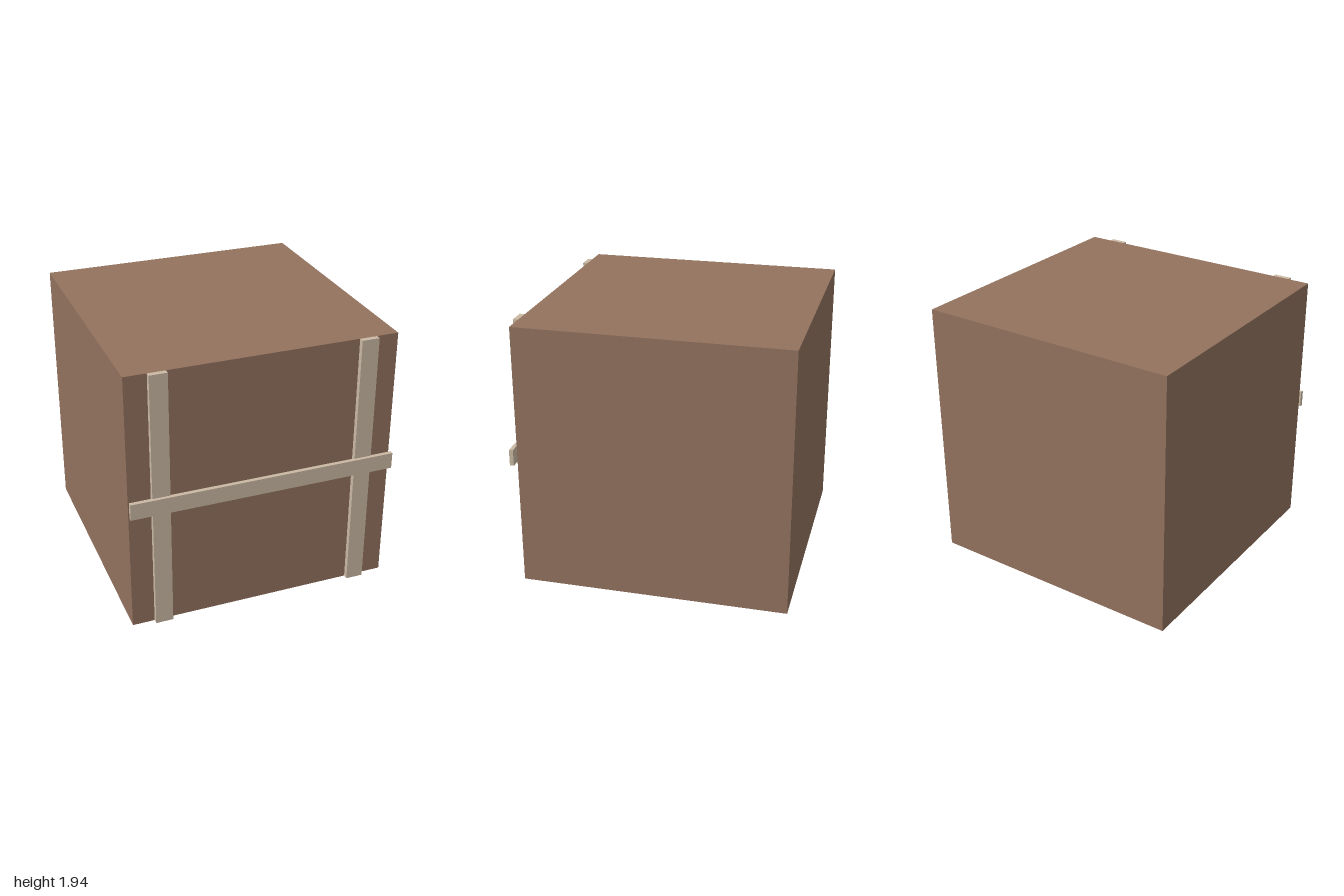
import * as THREE from 'three';

const SIZE = 1.94;      // edge of the cube
const FRONT = 0.94;     // z of its front face

export function createModel() {
  const group = new THREE.Group();
  const brown = new THREE.MeshStandardMaterial({ color: 0x93725e });
  const tan = new THREE.MeshStandardMaterial({ color: 0xc9b8a3 });

  const addBox = (name, material, size, position) => {
    const mesh = new THREE.Mesh(new THREE.BoxGeometry(...size), material);
    mesh.name = name;
    mesh.position.set(...position);
    group.add(mesh);
  };

  // Crate body
  addBox('crateBody', brown, [SIZE, SIZE, SIZE], [0, SIZE / 2, FRONT - SIZE / 2]);

  // Upright battens on the front face
  for (const [side, name] of [[1, 'leftBatten'], [-1, 'rightBatten']]) {
    addBox(name, tan, [0.127, SIZE, 0.037], [side * 0.746, SIZE / 2, FRONT + 0.0185]);
  }

  // Cross batten laid over the uprights
  addBox('crossBatten', tan, [SIZE, 0.12, 0.03], [0, 0.973, 0.985]);

  return group;
}
